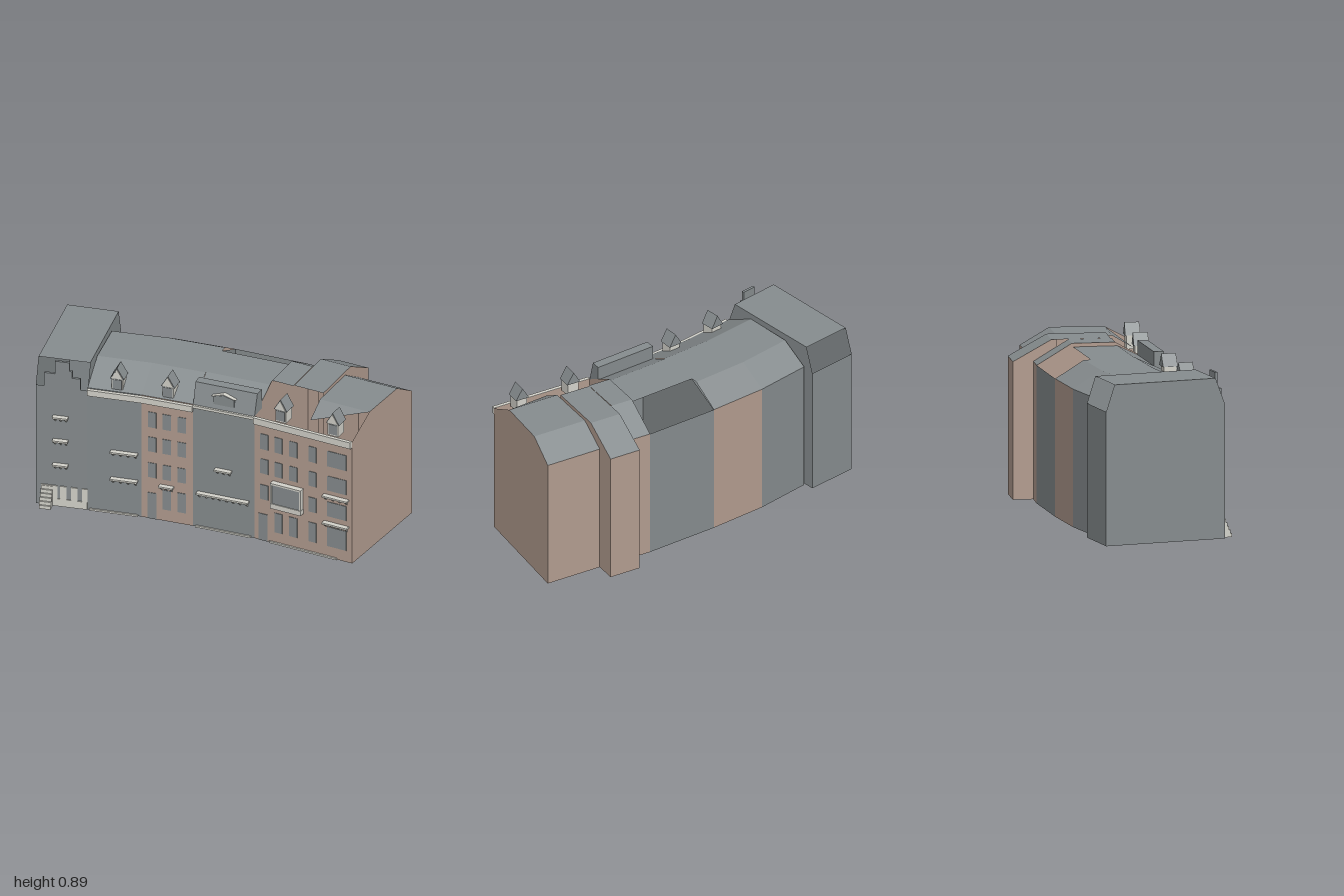
import * as THREE from 'three';

const mat = (name, color) => Object.assign(
  new THREE.MeshStandardMaterial({ color, side: THREE.DoubleSide }), { name });

export function createModel() {
  const model = new THREE.Group();
  model.name = 'curvedTerrace';
  const slate = mat('slateGrey', 0x868c8e);
  const brick = mat('tanBrick', 0xb29c8f);
  const stone = mat('paleStone', 0xd3d2ca);

  // Flat convex face from its corners
  function face(name, pts, material, parent = model) {
    const pos = [];
    for (let i = 1; i < pts.length - 1; i++) pos.push(...pts[0], ...pts[i], ...pts[i + 1]);
    const g = new THREE.BufferGeometry();
    g.setAttribute('position', new THREE.Float32BufferAttribute(pos, 3));
    g.computeVertexNormals();
    const m = new THREE.Mesh(g, material);
    m.name = name;
    parent.add(m);
  }

  // Party line from front to back: [front x, front z, back x, back z]
  const at = (s, t, y) => [s[0] + (s[2] - s[0]) * t, y, s[1] + (s[3] - s[1]) * t];
  const wallLine = (s, prof) => [at(s, prof[0][0], 0), ...prof.map(([t, y]) => at(s, t, y)),
    at(s, prof[prof.length - 1][0], 0)];

  // House between two party lines; open lists roof segments left open
  function house(name, L, R, wall, prof, { open = [], left = true, right = true, base = 0 } = {}) {
    const g = new THREE.Group();
    g.name = name;
    model.add(g);
    const n = prof.length - 1;
    const span = (label, a, b, m) => face(label,
      [at(L, ...a), at(R, ...a), at(R, ...b), at(L, ...b)], m, g);
    if (base === 0) {
      span('frontWall', [0, 0], prof[0], wall);
      span('backWall', prof[n], [1, 0], wall);
      span('floor', [1, 0], [0, 0], wall);
    }
    for (let i = 0; i < n; i++) if (!open.includes(i)) span('roof', prof[i], prof[i + 1], slate);
    const side = s => base ? prof.map(p => at(s, ...p)) : wallLine(s, prof);
    if (left) face('sideWall', side(L), wall, g);
    if (right) face('sideWall', side(R), wall, g);
    return g;
  }

  const A0 = [-.935, .365, -1, -.315], A1 = [-.65, .33, -.715, -.345];
  const B0 = [-.65, .33, -.7, -.29], C0 = [-.35, .3, -.385, -.335];
  const D0 = [-.055, .295, -.055, -.345], E0 = [.3, .3, .365, -.335];
  const N1 = [.43, .315, .49, -.32], W0 = [.43, .315, .505, -.43], W1 = [.605, .336, .685, -.41];
  const F0 = [.605, .336, .67, -.295], F1 = [.89, .37, .995, -.26];

  const common = [[0, .755], [.3, .85], [.75, .85], [1, .755]];
  house('cornerHouse', A0, A1, slate, [[0, .735], [.08, .88], [.93, .88], [1, .735]], { open: [0, 2] });
  house('greyHouse', B0, C0, slate, common, { right: false });
  house('brickHouse', C0, D0, brick, common, { left: false, right: false });
  house('middleHouse', D0, E0, slate, [[0, .755], [.31, .85], [.69, .85], [1, .755]],
    { open: [2], right: false });
  house('middleMansard', D0, E0, slate, [[0, .755], [.055, .877], [.14, .877], [.14, .76]], { base: 1 });

  // Large brick house: notch, rear wing and end section
  house('brickNotch', E0, N1, brick, [[0, .755], [.33, .87], [.7, .87], [1, .755]],
    { open: [0], right: false });
  house('rearWing', W0, W1, brick, [[0, .755], [.29, .87], [.72, .87], [1, .755]],
    { open: [0], left: false, right: false });
  const wingProfile = [[.68, .87], [.72, .87], [1, .755]];
  face('wingSide', wallLine(W0, wingProfile), brick);
  face('wingSide', wallLine(W1, [[.29, .87], ...wingProfile.slice(1)]), brick);
  house('brickEnd', F0, F1, brick, [[0, .755], [.285, .85], [.75, .85], [1, .755]],
    { open: [0], left: false });
  face('frontRoofSlope', [at(F0, .1, .78), at(F1, .285, .85), at(F0, .285, .85)], slate);

  // Street fronts: groups placed by x on the wall, local +z pointing outward
  const fronts = { A: [A0, A1], B: [B0, C0], C: [C0, D0], D: [D0, E0], E: [E0, F1] };
  function onWall(name, f, x, y) {
    const [l, r] = fronts[f];
    const g = new THREE.Group();
    g.name = name;
    const k = (x - l[0]) / (r[0] - l[0]);
    g.position.set(x, y, l[1] + (r[1] - l[1]) * k);
    g.rotation.y = -Math.atan2(r[1] - l[1], r[0] - l[0]);
    model.add(g);
    return g;
  }
  function box(name, parent, w, h, d, x, y, z, m) {
    const b = new THREE.Mesh(new THREE.BoxGeometry(w, h, d), m);
    b.name = name;
    b.position.set(x, y, z);
    parent.add(b);
  }
  function extrude(name, parent, pts, depth, z, m) {
    const shape = new THREE.Shape(pts.map(p => new THREE.Vector2(...p)));
    const e = new THREE.Mesh(new THREE.ExtrudeGeometry(shape, { depth, bevelEnabled: false }), m);
    e.name = name;
    e.position.z = z;
    parent.add(e);
  }
  const plate = (name, f, x0, x1, y0, y1, d, m) =>
    box(name, onWall(name, f, (x0 + x1) / 2, (y0 + y1) / 2), x1 - x0, y1 - y0, d, 0, 0, d / 2, m);

  // Windows and doors
  const rows = [[.565, .66], [.415, .505], [.255, .345], [.07, .19]];
  rows.forEach(([y0, y1], r) => {
    for (const x of [-.29, -.205, -.12])
      if (r < 3 || x > -.25) plate('window', 'C', x - .024, x + .024, y0, y1, .003, slate);
    for (const x of [.36, .445, .535, .65])
      if (r < 3 || x > .4) plate('window', 'E', x - .024, x + .024, y0, y1, .003, slate);
    plate('wideWindow', 'E', .74, .855, y0, y1, .003, slate);
  });
  plate('door', 'C', -.315, -.265, 0, .16, .003, slate);
  plate('door', 'E', .325, .38, 0, .165, .003, slate);

  // Cornices and plinths
  plate('cornice', 'B', -.65, -.35, .715, .75, .02, stone);
  plate('cornice', 'C', -.35, -.055, .715, .75, .02, stone);
  plate('cornice', 'D', -.055, .3, .738, .754, .012, stone);
  plate('cornice', 'E', .3, .89, .718, .757, .02, stone);
  for (const [f, a, b] of [['B', -.64, -.37], ['D', -.04, .28], ['E', .39, .8]])
    plate('plinth', f, a, b, 0, .01, .01, stone);

  // Balconies: slab on wedge brackets
  const balconies = [['A', -.84, -.755, .26], ['A', -.84, -.755, .41], ['A', -.84, -.755, .555],
    ['B', -.52, -.37, .385], ['B', -.52, -.37, .218], ['C', -.245, -.165, .218],
    ['D', .075, .17, .385], ['D', -.03, .27, .218], ['E', .72, .87, .385], ['E', .72, .87, .218]];
  for (const [f, a, b, y] of balconies) {
    const g = onWall('balcony', f, (a + b) / 2, y), w = b - a;
    box('slab', g, w, .01, .03, 0, 0, .015, stone);
    const n = Math.max(3, Math.round(w / .04));
    for (let i = 0; i < n; i++) {
      const x = -w / 2 + .012 + (w - .024) * i / (n - 1);
      for (const s of [-.004, .004])
        face('bracket', [[x + s, -.005, 0], [x + s, -.005, .027], [x + s, -.03, 0]], stone, g);
      face('bracket', [[x - .004, -.005, .027], [x + .004, -.005, .027],
        [x + .004, -.03, 0], [x - .004, -.03, 0]], stone, g);
    }
  }

  // Bay window
  const bay = onWall('bayWindow', 'E', .503, 0);
  box('bayBase', bay, .185, .03, .032, 0, .245, .016, stone);
  box('bayGlass', bay, .17, .115, .028, 0, .318, .014, slate);
  box('bayTop', bay, .185, .01, .032, 0, .381, .016, stone);
  for (const s of [-1, 1]) box('bayPost', bay, .008, .115, .032, s * .088, .318, .016, stone);

  // Gabled dormers
  for (const [f, x] of [['B', -.49], ['C', -.205], ['E', .45], ['E', .765]]) {
    const g = onWall('dormer', f, x, 0);
    box('cheeks', g, .064, .08, .07, 0, .79, -.05, stone);
    box('dormerWindow', g, .052, .06, .004, 0, .79, -.014, slate);
    extrude('dormerRoof', g, [[-.04, .825], [.04, .825], [0, .893]], .08, -.092, slate);
    extrude('dormerGable', g, [[-.032, .829], [.032, .829], [0, .884]], .003, -.012, stone);
  }

  // Pediment window on the middle mansard
  const ped = onWall('pedimentWindow', 'D', .12, 0);
  box('pedimentBody', ped, .12, .05, .03, 0, .805, -.018, slate);
  extrude('pediment', ped, [[-.07, .828], [.07, .828], [0, .85]], .03, -.03, stone);
  extrude('pedimentFace', ped, [[-.058, .83], [.058, .83], [0, .847]], .003, 0, slate);

  // Stepped gable of the corner house
  const gable = onWall('steppedGable', 'A', -.79, 0);
  extrude('gableWall', gable, [[-.1, .73], [.1, .73], [.1, .80], [.055, .80], [.055, .84],
    [.04, .84], [.04, .893], [-.04, .893], [-.04, .815], [-.1, .815]], .014, -.016, slate);

  // Stone ground floor with window gaps
  plate('groundBand', 'A', -.905, -.65, 0, .045, .006, stone);
  for (const [a, b] of [[-.905, -.815], [-.8, -.765], [-.74, -.705], [-.68, -.65]])
    plate('groundPier', 'A', a, b, .045, .125, .006, stone);

  // Entrance steps
  const stairs = onWall('entranceSteps', 'A', -.873, 0);
  for (let i = 0; i < 6; i++) {
    const d = .054 - i * .009;
    box('step', stairs, .065, .02, d, 0, .01 + i * .02, d / 2, stone);
  }
  return model;
}
